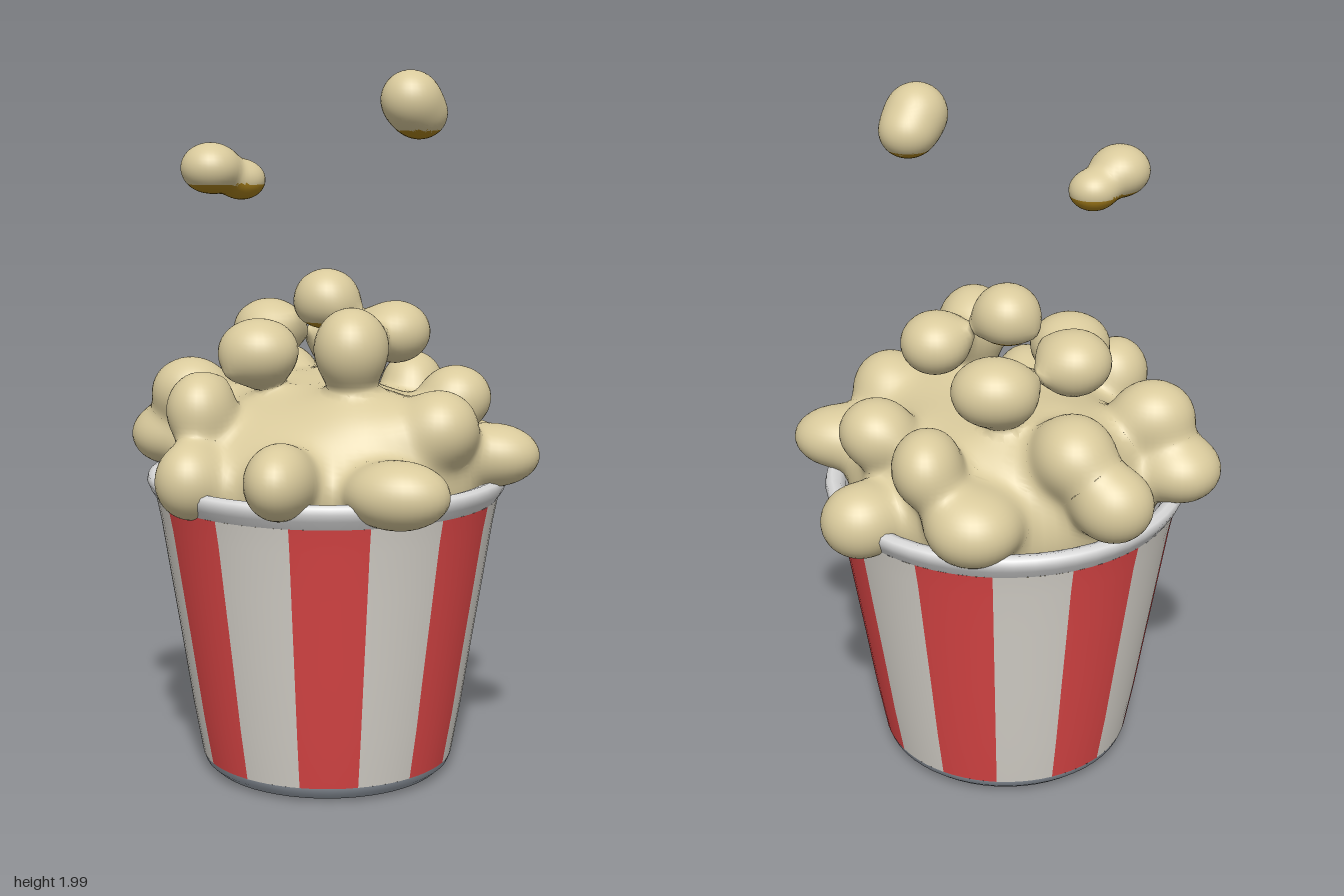
import * as THREE from 'three';

const mat = (name, color) => Object.assign(new THREE.MeshStandardMaterial({ color }), { name });

// Signed distance to an axis-aligned ellipsoid [x, y, z, rx, ry, rz]
function ellipsoid(p, [x, y, z, a, b, c]) {
  const u = (p.x - x) / a, v = (p.y - y) / b, w = (p.z - z) / c;
  const k0 = Math.hypot(u, v, w), k1 = Math.hypot(u / a, v / b, w / c);
  return k1 < 1e-6 ? -Math.min(a, b, c) : (k0 * (k0 - 1)) / k1;
}

// Smooth union of a list of ellipsoids
function field(blobs, p, k) {
  let sum = 0;
  for (const b of blobs) sum += Math.exp(-ellipsoid(p, b) / k);
  return -k * Math.log(sum);
}

function gradient(blobs, p, k) {
  const g = new THREE.Vector3(), e = 0.002;
  for (const axis of ['x', 'y', 'z']) {
    const q = p.clone();
    q[axis] += e;
    const hi = field(blobs, q, k);
    q[axis] -= 2 * e;
    g[axis] = hi - field(blobs, q, k);
  }
  return g.normalize();
}

// A sphere fitted to one ellipsoid, its skin pulled out to the smooth union.
// Faces lower than huskY go to the second material group.
function blobGeometry(blob, blobs, k, huskY = -1, detail = 32) {
  const geo = new THREE.SphereGeometry(1, detail, Math.round(detail * 0.65));
  geo.scale(blob[3], blob[4], blob[5]).translate(blob[0], blob[1], blob[2]);
  const pos = geo.attributes.position, nor = geo.attributes.normal;
  const p = new THREE.Vector3();
  for (let i = 0; i < pos.count; i++) {
    p.fromBufferAttribute(pos, i);
    for (let step = 0; step < 6; step++) {
      const d = field(blobs, p, k);
      if (d > -0.0005 || d < -0.08) break;
      p.addScaledVector(gradient(blobs, p, k), -d);
    }
    const n = gradient(blobs, p, k);
    pos.setXYZ(i, p.x, p.y, p.z);
    nor.setXYZ(i, n.x, n.y, n.z);
  }
  const upper = [], lower = [], idx = geo.index.array;
  for (let i = 0; i < idx.length; i += 3) {
    const tri = [idx[i], idx[i + 1], idx[i + 2]];
    const y = tri.reduce((s, j) => s + pos.getY(j), 0) / 3;
    (y < huskY ? lower : upper).push(...tri);
  }
  geo.setIndex([...upper, ...lower]);
  geo.clearGroups();
  geo.addGroup(0, upper.length, 0);
  geo.addGroup(upper.length, lower.length, 1);
  return geo;
}

export function createModel() {
  const model = new THREE.Group();
  model.name = 'popcornBucket';
  const white = mat('paperWhite', 0xd9d5cd);
  const red = mat('stripeRed', 0xdc4646);
  const rimWhite = mat('rimWhite', 0xdadada);
  const grey = mat('baseGrey', 0x9aa2ac);
  const corn = mat('popcorn', 0xd9ca9c);
  const husk = mat('huskBrown', 0xa8801c);

  const add = (parent, name, geo, material) => {
    const mesh = new THREE.Mesh(geo, material);
    mesh.name = name;
    parent.add(mesh);
    return mesh;
  };
  const profile = (pts) => pts.map(([r, y]) => new THREE.Vector2(r, y));

  // Bucket: base, alternating wall panels, rolled rim
  const bucket = new THREE.Group();
  bucket.name = 'bucket';
  bucket.position.set(-0.005, 0, -0.03);
  model.add(bucket);
  add(bucket, 'base', new THREE.LatheGeometry(
    profile([[0, 0.008], [0.31, 0.004], [0.335, 0.012], [0.355, 0.03], [0.363, 0.05]]), 56), grey);
  const wall = profile([[0.363, 0.05], [0.39, 0.2], [0.421, 0.4], [0.453, 0.6], [0.475, 0.74], [0.489, 0.81]]);
  const panel = Math.PI / 7;
  for (let i = 0; i < 14; i++) {
    add(bucket, i % 2 ? 'whitePanel' : 'redStripe',
      new THREE.LatheGeometry(wall, 5, i * panel, panel), i % 2 ? white : red);
  }
  add(bucket, 'rim', new THREE.LatheGeometry(profile([
    [0.489, 0.81], [0.505, 0.835], [0.514, 0.855], [0.51, 0.872], [0.495, 0.879],
    [0.472, 0.872], [0.458, 0.85], [0.45, 0.8], [0.42, 0.6]]), 56), rimWhite);

  // Popcorn heap: mound and shoulders first, then single kernels
  const mound = [0, 0.85, -0.02, 0.44, 0.27, 0.43];
  const kernels = [
    [0.13, 1.0, 0.13, 0.2, 0.12, 0.17],
    [-0.1, 1.0, -0.15, 0.24, 0.12, 0.2],
    // around the rim
    [0.48, 0.945, 0.01, 0.125, 0.085, 0.1],
    [0.28, 0.9, 0.4, 0.135, 0.09, 0.1],
    [-0.03, 0.935, 0.46, 0.09, 0.1, 0.125],
    [-0.31, 0.9, 0.34, 0.09, 0.1, 0.095],
    [-0.5, 0.945, -0.12, 0.11, 0.088, 0.115],
    [-0.32, 0.98, -0.41, 0.105, 0.1, 0.1],
    [0.05, 0.93, -0.47, 0.125, 0.1, 0.12],
    [0.37, 0.875, -0.36, 0.105, 0.1, 0.1],
    // middle layer
    [-0.31, 1.08, 0.22, 0.09, 0.1, 0.1],
    [-0.42, 1.085, -0.07, 0.11, 0.095, 0.1],
    [-0.21, 1.09, -0.34, 0.105, 0.1, 0.115],
    [0.18, 1.07, -0.4, 0.09, 0.1, 0.11],
    [0.34, 1.07, -0.2, 0.1, 0.09, 0.1],
    [0.35, 1.04, 0.16, 0.1, 0.1, 0.11],
    // crown
    [0.01, 1.23, -0.26, 0.115, 0.09, 0.1],
    [-0.2, 1.265, -0.13, 0.1, 0.085, 0.1],
    [-0.18, 1.225, 0.08, 0.11, 0.09, 0.1],
    [0.1, 1.25, 0.15, 0.1, 0.11, 0.11],
    [0.19, 1.275, -0.05, 0.095, 0.085, 0.1],
  ];
  const peak = [-0.01, 1.365, -0.045, 0.09, 0.083, 0.09];
  const heapBlobs = [mound, ...kernels, peak];
  const heap = new THREE.Group();
  heap.name = 'popcornHeap';
  model.add(heap);
  add(heap, 'mound', blobGeometry(mound, heapBlobs, 0.03, -1, 80), corn);
  for (const b of kernels) add(heap, 'kernel', blobGeometry(b, heapBlobs, 0.03), corn);
  add(heap, 'peakKernel', blobGeometry(peak, heapBlobs, 0.03, 1.3), [corn, husk]);

  // Kernels popping in the air, with a brown husk underneath
  const flying = [
    { huskY: 1.688, blobs: [[-0.305, 1.732, 0.1, 0.083, 0.07, 0.085], [-0.235, 1.698, 0.03, 0.066, 0.055, 0.062]] },
    { huskY: 1.834, blobs: [[0.23, 1.918, -0.02, 0.082, 0.08, 0.08], [0.25, 1.878, -0.06, 0.075, 0.068, 0.075]] },
  ];
  for (const { huskY, blobs } of flying) {
    const kernel = new THREE.Group();
    kernel.name = 'flyingKernel';
    model.add(kernel);
    for (const b of blobs) add(kernel, 'lobe', blobGeometry(b, blobs, 0.015, huskY), [corn, husk]);
  }
  return model;
}
